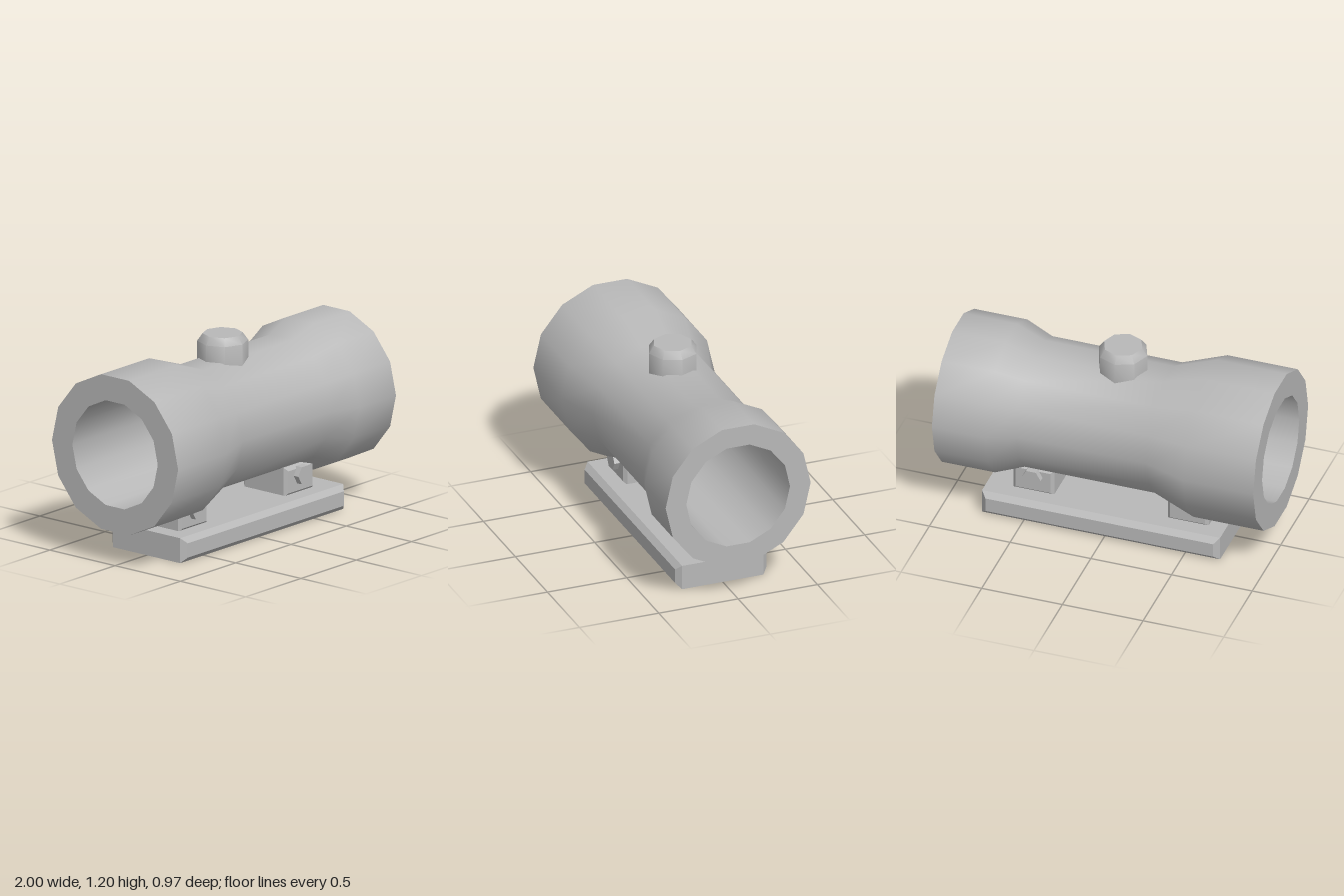
import * as THREE from 'three';
import { toCreasedNormals } from 'three/addons/utils/BufferGeometryUtils.js';

const metal = new THREE.MeshStandardMaterial({ color: 0xb8b8b8 });
metal.name = 'grey metal';

function part(name, geometry) {
  const mesh = new THREE.Mesh(geometry, metal);
  mesh.name = name;
  return mesh;
}

function lathe(profile, sides) {
  const points = profile.map(([r, y]) => new THREE.Vector2(r, y));
  return toCreasedNormals(new THREE.LatheGeometry(points, sides), 0.85);
}

// Block whose front and back faces are chamfered on all four edges
function chamferedBlock(x0, x1, y0, y1, halfDepth, bevel) {
  const shape = new THREE.Shape([
    new THREE.Vector2(x0, y0), new THREE.Vector2(x1, y0),
    new THREE.Vector2(x1, y1), new THREE.Vector2(x0, y1),
  ]);
  const depth = 2 * (halfDepth - bevel);
  const geometry = new THREE.ExtrudeGeometry(shape, {
    depth, bevelEnabled: true, bevelSegments: 1,
    bevelSize: bevel, bevelThickness: bevel, bevelOffset: -bevel,
  });
  return geometry.translate(0, 0, -depth / 2);
}

export function createModel() {
  const model = new THREE.Group();
  model.name = 'mountedTube';

  // Hollow tube: outer wall one way, straight bore back
  const tube = part('tube', lathe([
    [0.327, -1], [0.483, -1], [0.483, -0.565], [0.39, -0.305],
    [0.39, 0.5], [0.457, 0.67], [0.457, 1], [0.327, 1], [0.327, -1],
  ], 14).rotateZ(-Math.PI / 2));
  tube.position.y = 0.675;
  model.add(tube);

  // Adjustment knob on top
  const knob = part('knob', lathe([
    [0, 1.0], [0.15, 1.0], [0.15, 1.155], [0.118, 1.2], [0, 1.2],
  ], 8));
  knob.position.set(-0.025, 0, -0.002);
  model.add(knob);

  // Rail below
  model.add(part('base', chamferedBlock(-0.715, 0.76, 0, 0.152, 0.288, 0.032)));

  // Lugs joining tube and rail, with a hexagonal bolt head on each side
  for (const x of [-0.482, 0.475]) {
    model.add(part('lug', chamferedBlock(x - 0.128, x + 0.128, 0.145, 0.32, 0.17, 0.02)));
    for (const side of [1, -1]) {
      const head = new THREE.CylinderGeometry(0.06, 0.06, 0.045, 6, 1, false, Math.PI / 2);
      const bolt = part('bolt', toCreasedNormals(head, 0.5));
      bolt.rotation.x = Math.PI / 2;
      bolt.position.set(x, 0.262, side * 0.183);
      model.add(bolt);
    }
  }
  return model;
}
